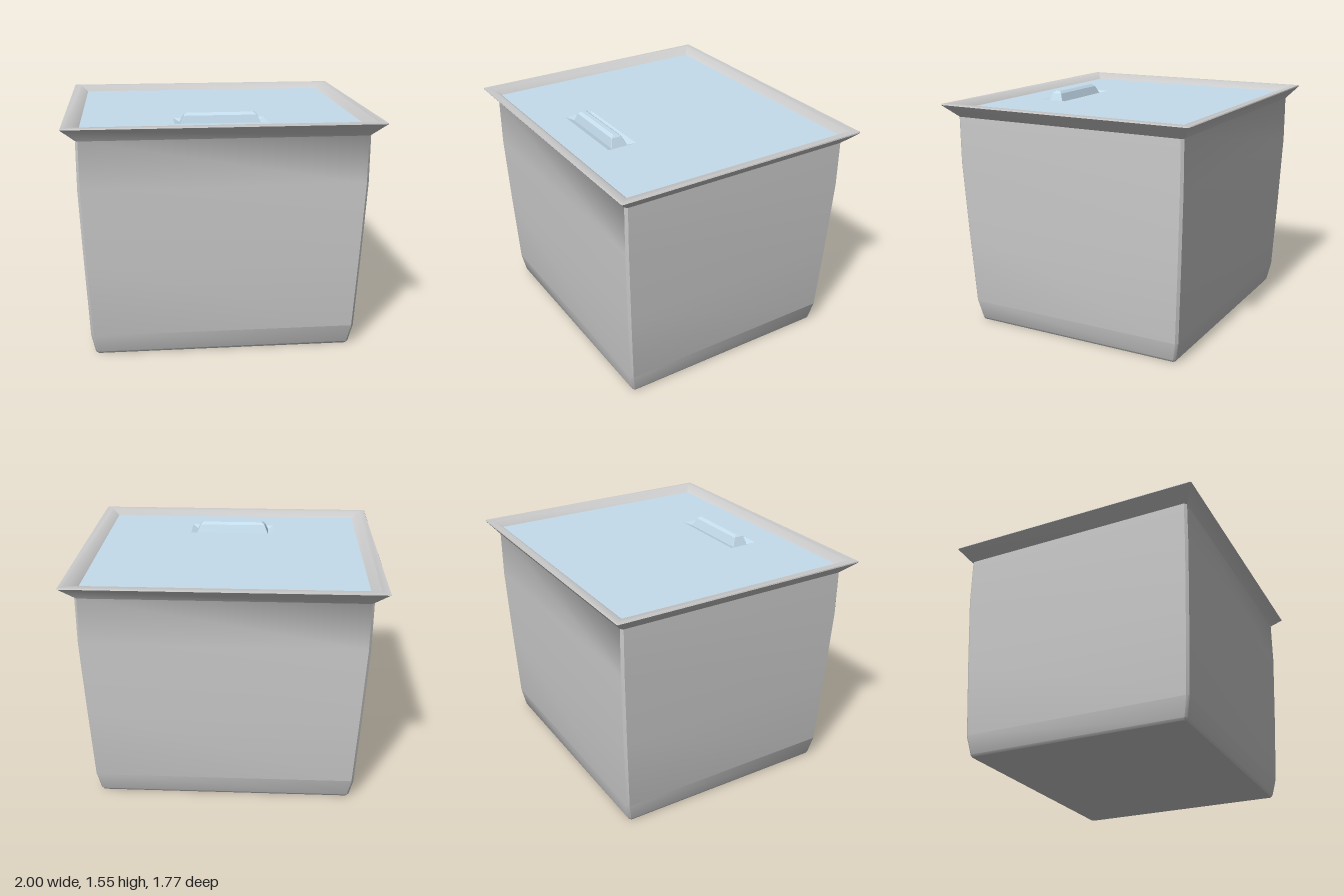
import * as THREE from 'three';
import { toCreasedNormals } from 'three/addons/utils/BufferGeometryUtils.js';

// One cross-section: a rectangle with chamfered corners, lying flat at height y
function ring([hx, hz, y, c = 0.002, cz = 0]) {
  return [
    [hx, -hz + c], [hx, hz - c], [hx - c, hz], [-hx + c, hz],
    [-hx, hz - c], [-hx, -hz + c], [-hx + c, -hz], [hx - c, -hz],
  ].map(([x, z]) => new THREE.Vector3(x, y, z + cz));
}

// Skin a stack of cross-sections, optionally closing the first and last
function loft(sections, capStart, capEnd, crease) {
  const rings = sections.map(ring);
  const n = rings[0].length;
  const points = [];
  for (let r = 0; r + 1 < rings.length; r++) {
    for (let i = 0; i < n; i++) {
      const j = (i + 1) % n;
      const a = rings[r][i], b = rings[r][j], c = rings[r + 1][j], d = rings[r + 1][i];
      points.push(a, d, c, a, c, b);
    }
  }
  const last = rings[rings.length - 1];
  for (let i = 1; i + 1 < n; i++) {
    if (capStart) points.push(rings[0][0], rings[0][i], rings[0][i + 1]);
    if (capEnd) points.push(last[0], last[i + 1], last[i]);
  }
  return toCreasedNormals(new THREE.BufferGeometry().setFromPoints(points), crease);
}

export function createModel() {
  const group = new THREE.Group();
  const add = (name, geometry, color) => {
    const material = new THREE.MeshStandardMaterial({ color, side: THREE.DoubleSide });
    const mesh = new THREE.Mesh(geometry, material);
    mesh.name = name;
    group.add(mesh);
  };

  // Tapered tub with a flared lip, turning over into the inner rim
  add('tub', loft([
    [0.835, 0.74, 0, 0.012],
    [0.845, 0.75, 0.015, 0.015],
    [0.87, 0.775, 0.14, 0.016],
    [0.894, 0.797, 0.64, 0.016],
    [0.915, 0.815, 1.13, 0.016],
    [0.915, 0.815, 1.44, 0.016],
    [0.995, 0.88, 1.517, 0.008],
    [1.0, 0.885, 1.523, 0.006],
    [0.997, 0.882, 1.53, 0.005],
    [0.95, 0.835, 1.53],
    [0.895, 0.79, 1.488],
  ], true, false, 0.77), 0xcccccc);

  // Sunken lid with a shallow dished recess
  const z = 0.48;
  add('lid', loft([
    [0.897, 0.792, 1.49],
    [0.3, 0.1, 1.49, 0.002, z],
    [0.26, 0.056, 1.473, 0.002, z],
  ], false, false, 0.2), 0xc4dcec);

  // Bevelled grip rising out of the recess
  add('handle', loft([
    [0.26, 0.056, 1.473, 0.002, z],
    [0.235, 0.036, 1.53, 0.002, z + 0.005],
    [0.215, 0.016, 1.546, 0.002, z + 0.005],
  ], false, true, 0.3), 0xc4dcec);

  return group;
}
